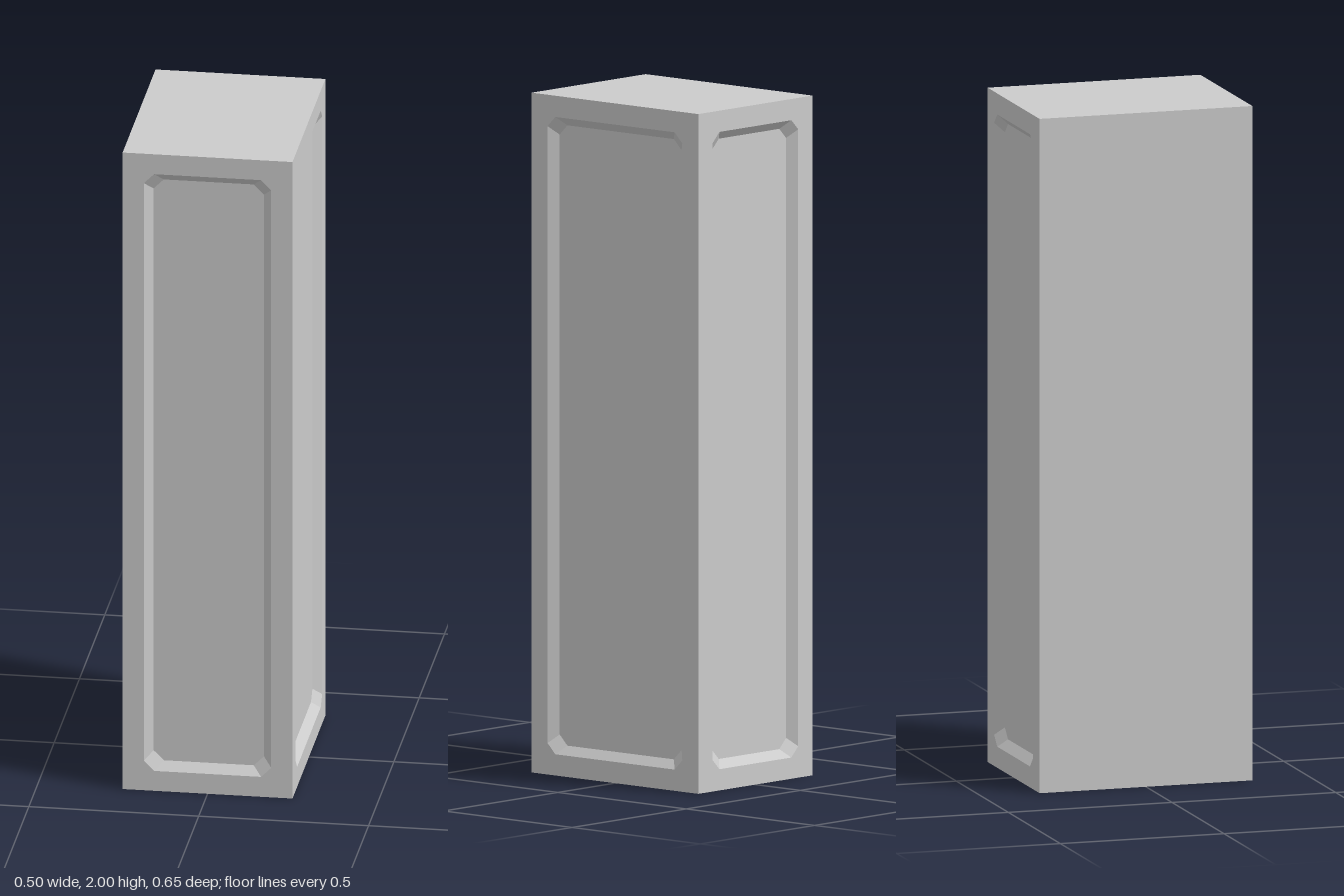
import * as THREE from 'three';

const W = 0.5, H = 2, D = 0.65;      // overall size
const MARGIN = 0.0625;               // frame width round each recess
const BEVEL = 0.025, DEPTH = 0.025;  // sloped recess wall
const CUT = 0.03;                    // chamfered recess corners

const material = new THREE.MeshStandardMaterial({ color: 0xcccccc, flatShading: true });

// Counter-clockwise rectangle with cut corners, centred on the origin
function octagon(w, h, c) {
  const x = w / 2, y = h / 2;
  return [
    [x - c, -y], [x, -y + c], [x, y - c], [x - c, y],
    [-x + c, y], [-x, y - c], [-x, -y + c], [-x + c, -y],
  ].map(([a, b]) => new THREE.Vector2(a, b));
}

function addMesh(parent, name, geometry) {
  const mesh = new THREE.Mesh(geometry, material);
  mesh.name = name;
  parent.add(mesh);
  return mesh;
}

// Sloped wall joining the outer outline to the sunken inner outline
function bevelGeometry(outer, inner) {
  const pos = [];
  outer.forEach((a, i) => {
    const j = (i + 1) % outer.length;
    const b = outer[j], c = inner[j], d = inner[i];
    pos.push(a.x, a.y, 0, b.x, b.y, 0, c.x, c.y, -DEPTH);
    pos.push(a.x, a.y, 0, c.x, c.y, -DEPTH, d.x, d.y, -DEPTH);
  });
  const geometry = new THREE.BufferGeometry();
  geometry.setAttribute('position', new THREE.Float32BufferAttribute(pos, 3));
  geometry.computeVertexNormals();
  return geometry;
}

// Side of the block with a recessed panel, facing +z
function recessedSide(name, width) {
  const side = new THREE.Group();
  side.name = name;
  const w = width - 2 * MARGIN, h = H - 2 * MARGIN;
  const outer = octagon(w, h, CUT);
  const inner = octagon(w - 2 * BEVEL, h - 2 * BEVEL, CUT);

  const frame = new THREE.Shape(octagon(width, H, 0).filter((p, i) => i % 2 === 0));
  frame.holes.push(new THREE.Path(outer));
  addMesh(side, 'frame', new THREE.ShapeGeometry(frame));
  addMesh(side, 'recessBevel', bevelGeometry(outer, inner));
  addMesh(side, 'recessPanel', new THREE.ShapeGeometry(new THREE.Shape(inner))).position.z = -DEPTH;
  return side;
}

export function createModel() {
  const model = new THREE.Group();
  model.name = 'panelledBlock';

  // Recessed front, back and right-hand sides
  const front = recessedSide('frontSide', W);
  front.position.set(0, H / 2, D / 2);
  const back = recessedSide('backSide', W);
  back.position.set(0, H / 2, -D / 2);
  back.rotation.y = Math.PI;
  const panelled = recessedSide('panelledSide', D);
  panelled.position.set(W / 2, H / 2, 0);
  panelled.rotation.y = Math.PI / 2;
  model.add(front, back, panelled);

  // Plain side, top and bottom
  const plain = addMesh(model, 'plainSide', new THREE.PlaneGeometry(D, H));
  plain.position.set(-W / 2, H / 2, 0);
  plain.rotation.y = -Math.PI / 2;
  const top = addMesh(model, 'top', new THREE.PlaneGeometry(W, D));
  top.position.y = H;
  top.rotation.x = -Math.PI / 2;
  const bottom = addMesh(model, 'bottom', new THREE.PlaneGeometry(W, D));
  bottom.rotation.x = Math.PI / 2;

  return model;
}
